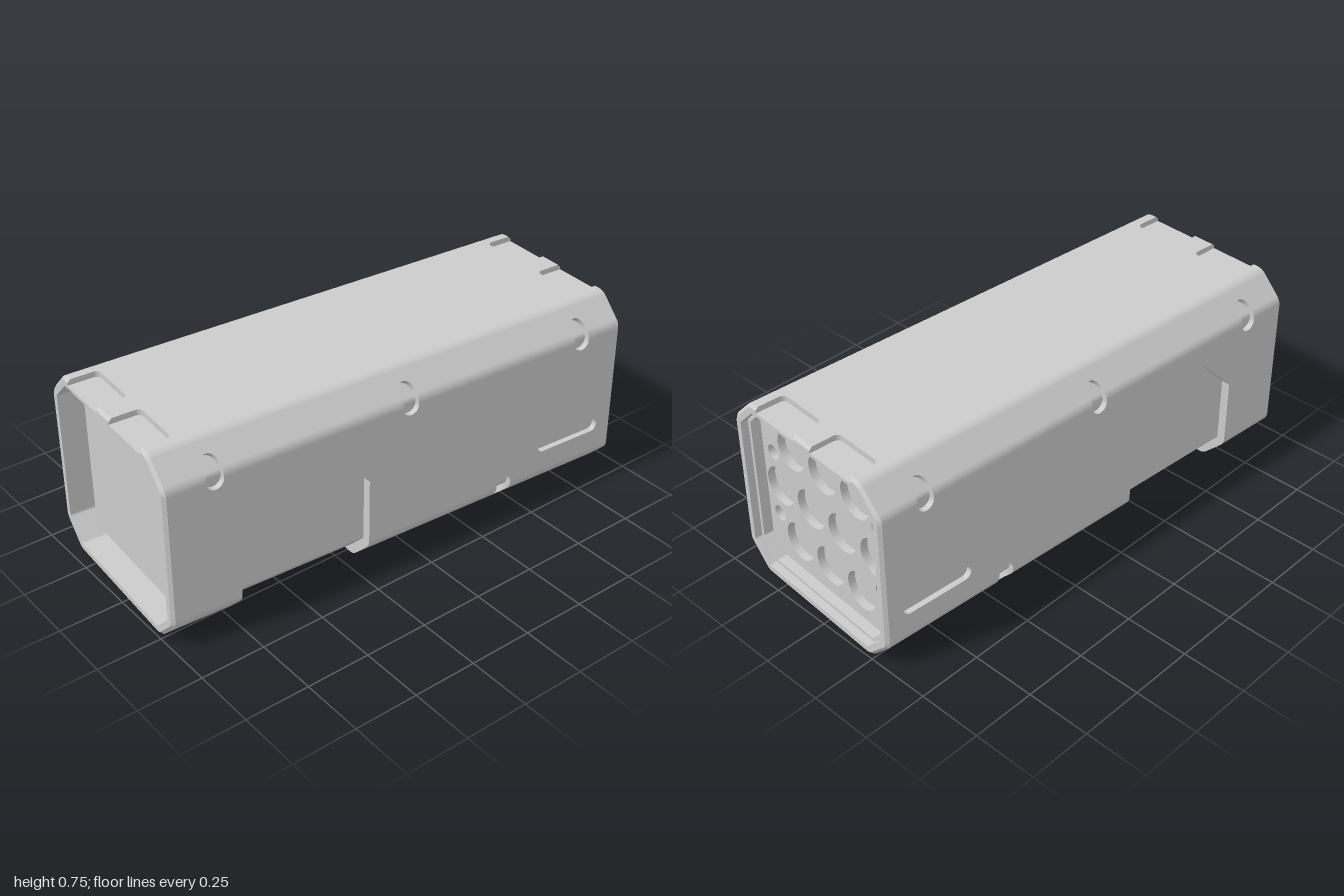
import * as THREE from 'three';

const W = 0.396, H = 0.745, HALF = 0.9775;   // half width, height, half length
const CUT = 0.1, R = 0.05;                   // corner chamfer and its rounding
const SKIN = 0.035, BEVEL = 0.012;           // shell thickness, end edge bevel
const YAW = -0.0616;

// Rounded octagon section, anticlockwise from bottom centre: point, normal, distance u
const section = [{ x: 0, y: 0, nx: 0, ny: -1 }];
const corners = [[W - CUT, 0], [W, CUT], [W, H - CUT], [W - CUT, H],
  [CUT - W, H], [-W, H - CUT], [-W, CUT], [CUT - W, 0]];
corners.forEach(([vx, vy], k) => {
  const d = k * Math.PI / 4, t = R * Math.tan(Math.PI / 8);
  const cx = vx - Math.cos(d) * t - Math.sin(d) * R;
  const cy = vy - Math.sin(d) * t + Math.cos(d) * R;
  for (let i = 0; i <= 4; i++) {
    const a = d - Math.PI / 2 + i * Math.PI / 16, nx = Math.cos(a), ny = Math.sin(a);
    section.push({ x: cx + R * nx, y: cy + R * ny, nx, ny });
  }
});
section.push({ x: 0, y: 0, nx: 0, ny: -1 });
section.forEach((p, i) => {
  const q = section[i - 1];
  p.u = q ? q.u + Math.hypot(p.x - q.x, p.y - q.y) : 0;
});
const P = section[section.length - 1].u;

// Section point and normal at distance u
function at(u) {
  let i = 1;
  while (i < section.length - 1 && section[i].u < u) i++;
  const a = section[i - 1], b = section[i], t = (u - a.u) / (b.u - a.u);
  const mix = (k) => a[k] + (b[k] - a[k]) * t;
  return { x: mix('x'), y: mix('y'), nx: mix('nx'), ny: mix('ny') };
}

// Distance u on the +x side at height y
function uAt(y) {
  let i = 2;
  while (section[i].y < y) i++;
  const a = section[i - 1], b = section[i];
  return a.u + (b.u - a.u) * (y - a.y) / (b.y - a.y);
}

// Split triangles along the plane axis = c
function slice(tris, axis, c) {
  const out = [];
  for (const tri of tris) {
    for (const side of [1, -1]) {
      const poly = [];
      tri.pts.forEach((p, i) => {
        const q = tri.pts[(i + 1) % 3];
        const dp = (p[axis] - c) * side, dq = (q[axis] - c) * side;
        if (dp >= -1e-7) poly.push(p);
        if ((dp > 1e-7 && dq < -1e-7) || (dp < -1e-7 && dq > 1e-7)) {
          const t = dp / (dp - dq);
          poly.push(p.map((v, k) => v + (q[k] - v) * t));
        }
      });
      if (!poly.some((p) => (p[axis] - c) * side > 1e-7)) {
        // a triangle lying in the plane is kept once
        if (side === 1 && tri.pts.every((p) => Math.abs(p[axis] - c) <= 1e-7)) out.push(tri);
        continue;
      }
      for (let i = 1; i + 1 < poly.length; i++) out.push({ pts: [poly[0], poly[i], poly[i + 1]], face: tri.face });
    }
  }
  return out;
}

// Extrude a flat (u, z) sheet and wrap it round the section
function wrap(shape, thickness) {
  const g = new THREE.ExtrudeGeometry(shape, { depth: thickness, bevelEnabled: false }).toNonIndexed();
  const pos = g.attributes.position, nor = g.attributes.normal;
  let tris = [];
  for (let i = 0; i < pos.count; i += 3) {
    const pts = [0, 1, 2].map((k) => [pos.getX(i + k), pos.getY(i + k), pos.getZ(i + k) - SKIN]);
    tris.push({ pts, face: Math.round(nor.getZ(i)) });
  }
  for (const p of section.slice(1, -1)) tris = slice(tris, 0, p.u);
  for (const z of [HALF - BEVEL, BEVEL - HALF]) tris = slice(tris, 1, z);
  const positions = [], normals = [];
  for (const { pts, face } of tris) {
    const frames = pts.map((p) => at(p[0]));
    const v = pts.map(([, z, w], i) => {
      const f = frames[i], d = Math.min(w, -Math.max(0, Math.abs(z) - HALF + BEVEL));
      return new THREE.Vector3(f.x + f.nx * d, f.y + f.ny * d, z);
    });
    const flat = v[1].clone().sub(v[0]).cross(v[2].clone().sub(v[0]));
    if (flat.length() < 1e-11) continue;
    flat.normalize();
    const onBevel = pts.reduce((s, p) => s + Math.abs(p[1]), 0) / 3 > HALF - BEVEL;
    v.forEach((p, i) => {
      const f = frames[i];
      const n = face && !onBevel ? new THREE.Vector3(f.nx, f.ny, 0).normalize().multiplyScalar(face) : flat;
      positions.push(p.x, p.y, p.z);
      normals.push(n.x, n.y, n.z);
    });
  }
  const out = new THREE.BufferGeometry();
  out.setAttribute('position', new THREE.Float32BufferAttribute(positions, 3));
  out.setAttribute('normal', new THREE.Float32BufferAttribute(normals, 3));
  return out;
}

const toShape = (pts) => new THREE.Shape(pts.map(([a, b]) => new THREE.Vector2(a, b)));
const mirror = (pts) => pts.map(([u, z]) => [P - u, z]).reverse();

// Round-ended slot on the side, given by its z and y limits
function slot(z0, z1, y0, y1) {
  const r = Math.min(z1 - z0, y1 - y0) / 2, pts = [];
  for (let i = 0; i < 32; i++) {
    const a = (i + 0.5) / 32 * Math.PI * 2, c = Math.cos(a), s = Math.sin(a);
    const z = (c > 0 ? z1 - r : z0 + r) + r * c, y = (s > 0 ? y1 - r : y0 + r) + r * s;
    pts.push([uAt(y), z]);
  }
  return pts;
}

// Rounded notch open at the back end
function notch(u0, u1) {
  const r = 0.02, z = -HALF + 0.118, pts = [[u0, -HALF]];
  for (let i = 0; i <= 4; i++) {
    const a = i * Math.PI / 8;
    pts.push([u0 + r - r * Math.cos(a), z - r + r * Math.sin(a)]);
  }
  for (let i = 0; i <= 4; i++) {
    const a = i * Math.PI / 8;
    pts.push([u1 - r + r * Math.sin(a), z - r + r * Math.cos(a)]);
  }
  return [...pts, [u1, -HALF]];
}

// Octagon outline at a given inset
const outline = (inset) => section.slice(1, -1).map((p) => [p.x - p.nx * inset, p.y - p.ny * inset]);

export function createModel() {
  const model = new THREE.Group();
  const body = new THREE.Group();
  body.name = 'housing';
  body.rotation.y = YAW;
  model.add(body);
  const material = new THREE.MeshStandardMaterial({ color: 0xcccccc });
  const add = (name, geometry, z = 0) => {
    const mesh = new THREE.Mesh(geometry, material);
    mesh.name = name;
    mesh.position.z = z;
    body.add(mesh);
  };
  const plate = (shape, depth) => new THREE.ExtrudeGeometry(shape, { depth, bevelEnabled: false, curveSegments: 32 });

  // Outer shell: saddle cutout under the body, end notches on top, slots on the sides
  const low = uAt(0.38), high = uAt(0.54);
  const edge = [[0, HALF], [0, 0.705], [low, 0.705], [high, 0.545], [high, 0.335], [low, 0.175], [0, 0.175], [0, -HALF]];
  const backNotches = [notch(P / 2 - 0.255, P / 2 - 0.045), notch(P / 2 + 0.045, P / 2 + 0.255)];
  const flip = (pts) => pts.map(([u, z]) => [u, -z]).reverse();
  const frontNotches = backNotches.map(flip).reverse();
  const shell = toShape([...edge, ...backNotches.flat(), ...mirror(edge), ...frontNotches.flat()]);

  const slots = [-0.786, 0, 0.786].map((z) => slot(z - 0.033, z + 0.033, 0.59, 0.7));
  slots.push(slot(-0.478, -0.412, 0.05, 0.157), slot(-0.9, -0.605, 0.2, 0.254));
  const allSlots = [...slots, ...slots.map(mirror)];
  for (const s of allSlots) shell.holes.push(toShape(s));
  add('outerShell', wrap(shell, SKIN));

  // Floors of the slots and notches
  for (const s of allSlots) add('slotFloor', wrap(toShape(s), SKIN - 0.022));
  for (const n of [...backNotches, ...frontNotches]) add('notchFloor', wrap(toShape(n), SKIN - 0.022));

  // Inner core, closing the front recess and showing in the saddle cutout
  add('innerCore', plate(toShape(outline(SKIN)), 2 * HALF - 0.2), -HALF + 0.1);

  // Back plate with three rows of round sockets and four screw holes
  const back = toShape(outline(SKIN));
  const hole = (x, y, r) => back.holes.push(new THREE.Path().absarc(x, y, r, 0, Math.PI * 2, true));
  const mid = H / 2;
  [3, 4, 3].forEach((count, row) => {
    for (let i = 0; i < count; i++) hole((i - (count - 1) / 2) * 0.175, mid + (1 - row) * 0.2, 0.076);
  });
  for (const sx of [-1, 1]) for (const sy of [-1, 1]) hole(sx * 0.287, mid + sy * 0.135, 0.03);
  add('backSocketPlate', plate(back, 0.03), -HALF + 0.07);

  // Ledge inside the back rim
  const ledge = toShape(outline(SKIN));
  ledge.holes.push(toShape(outline(0.049)));
  add('backLedge', plate(ledge, 0.04), -HALF + 0.03);

  return model;
}
